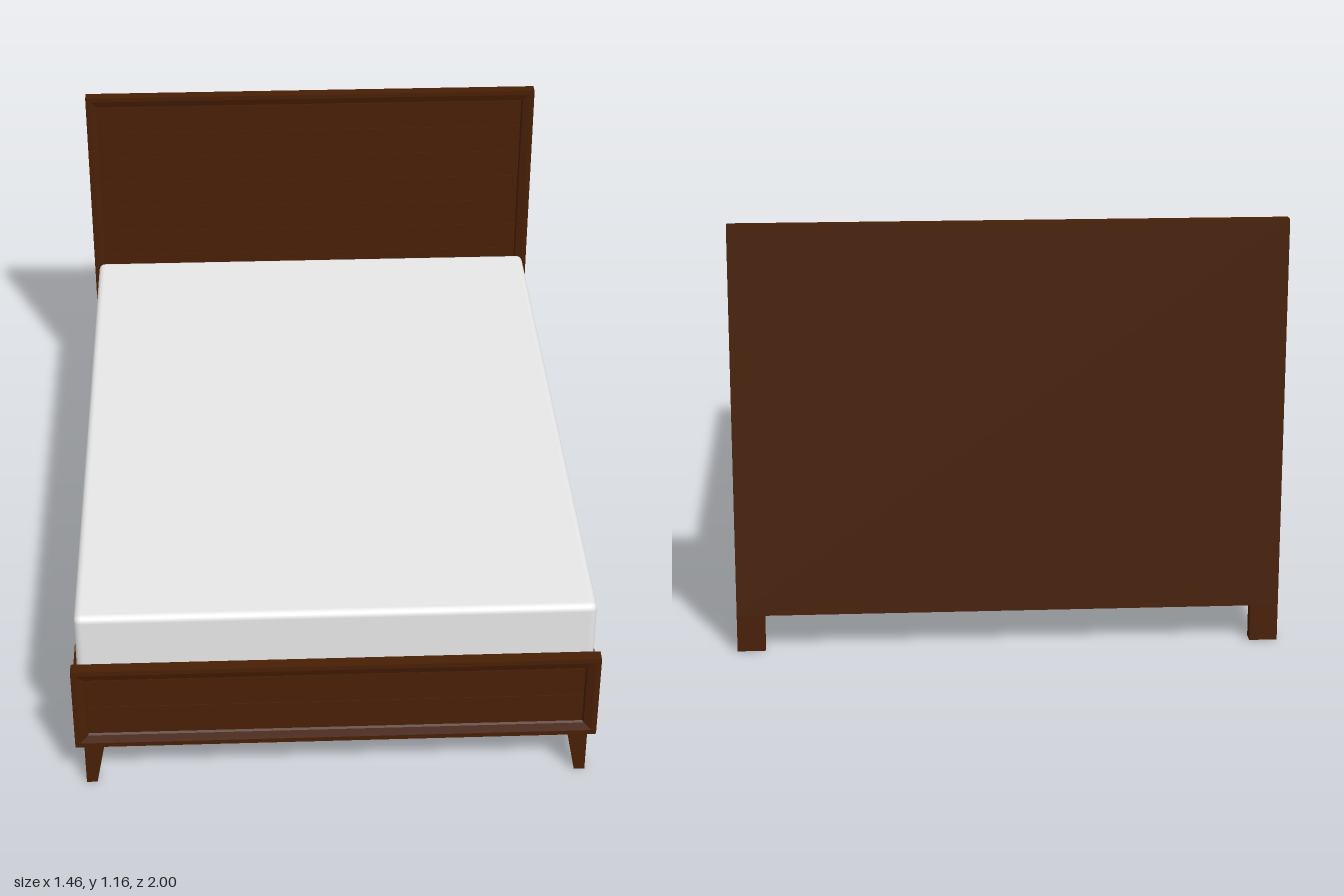
import * as THREE from 'three';
import { RoundedBoxGeometry } from 'three/addons/geometries/RoundedBoxGeometry.js';

const material = (name, color) => {
  const m = new THREE.MeshStandardMaterial({ color });
  m.name = name;
  return m;
};

export function createModel() {
  const wood = material('walnut', 0x481f05);
  const fabric = material('mattressFabric', 0xebebeb);
  const pine = material('slatPine', 0xcfba92);

  const bed = new THREE.Group();
  bed.name = 'bed';

  const add = (parent, name, geometry, mat) => {
    const mesh = new THREE.Mesh(geometry, mat);
    mesh.name = name;
    parent.add(mesh);
    return mesh;
  };
  // Box given by its minimum and maximum corners
  const box = (parent, name, mat, x0, x1, y0, y1, z0, z1) => {
    const g = new THREE.BoxGeometry(x1 - x0, y1 - y0, z1 - z0);
    g.translate((x0 + x1) / 2, (y0 + y1) / 2, (z0 + z1) / 2);
    return add(parent, name, g, mat);
  };

  const W = 0.73; // half width of the bed
  const T = 0.035; // board thickness
  const L = 1; // half length

  // Solid board with a mitred, sloping frame around a recessed front
  function framedBoard(y0, y1, z0, z1) {
    const rings = [[0, z0], [0, z1], [0.014, z1], [0.036, z1 - 0.008], [0.04, z1 - 0.016]];
    const corners = rings.map(([i, z]) => [
      [-W + i, y0 + i, z], [W - i, y0 + i, z], [W - i, y1 - i, z], [-W + i, y1 - i, z],
    ]);
    const pos = [];
    const quad = (a, b, c, d) => pos.push(...a, ...b, ...c, ...a, ...c, ...d);
    for (let r = 0; r < rings.length - 1; r++) {
      for (let k = 0; k < 4; k++) {
        const n = (k + 1) % 4;
        quad(corners[r][k], corners[r][n], corners[r + 1][n], corners[r + 1][k]);
      }
    }
    const [a, b, c, d] = corners[0];
    quad(d, c, b, a);
    quad(...corners[rings.length - 1]);
    const g = new THREE.BufferGeometry();
    g.setAttribute('position', new THREE.Float32BufferAttribute(pos, 3));
    g.computeVertexNormals();
    return g;
  }

  // Framed board filled with horizontal planks
  function plankedBoard(name, y0, y1, z0, z1, pitch) {
    const group = new THREE.Group();
    group.name = name;
    add(group, name + 'Frame', framedBoard(y0, y1, z0, z1), wood);
    const inner = W - 0.04, bottom = y0 + 0.04, face = z1 - 0.016;
    for (let top = y1 - 0.04; top > bottom + 0.02; top -= pitch) {
      const low = Math.max(top - pitch, bottom);
      box(group, name + 'Plank', wood, -inner + 0.001, inner - 0.001, low + 0.0015, top - 0.0015, face - 0.002, face + 0.004);
    }
    bed.add(group);
  }
  plankedBoard('headboard', 0.1, 1.165, -L, -L + T, 0.0917);
  plankedBoard('footboard', 0.13, 0.4, L - T, L, 0.095);

  // Tapered front leg profile
  const legShape = new THREE.Shape([
    new THREE.Vector2(0.675, 0), new THREE.Vector2(0.705, 0),
    new THREE.Vector2(0.705, 0.13), new THREE.Vector2(0.65, 0.13),
  ]);
  const frontLeg = new THREE.ExtrudeGeometry(legShape, { depth: 0.028, bevelEnabled: false });
  frontLeg.translate(0, 0, -0.014);

  for (const s of [-1, 1]) {
    const side = s > 0 ? 'left' : 'right';
    const span = (a, b) => (s > 0 ? [a, b] : [-b, -a]);

    // Legs
    box(bed, side + 'BackLeg', wood, ...span(0.655, W), 0, 0.1, -L, -L + T);
    const leg = add(bed, side + 'FrontLeg', frontLeg, wood);
    leg.position.z = L - 0.015;
    if (s < 0) leg.rotation.y = Math.PI;

    // Side rail and the cleat that carries the slats
    box(bed, side + 'Rail', wood, ...span(0.712, W), 0.13, 0.33, -L + T, L - T);
    box(bed, side + 'Cleat', wood, ...span(0.685, 0.712), 0.255, 0.285, -L + T, L - T);
  }

  // Slats, with a wide board at the foot
  box(bed, 'footSlat', pine, -0.712, 0.712, 0.285, 0.305, 0.82, L - T);
  const count = 17, pitch = 1.77 / count;
  for (let i = 0; i < count; i++) {
    const z = -0.96 + i * pitch;
    box(bed, 'slat', pine, -0.712, 0.712, 0.285, 0.305, z, z + 0.075);
  }

  // Mattress
  const mattress = add(bed, 'mattress', new RoundedBoxGeometry(1.43, 0.25, 1.925, 4, 0.02), fabric);
  mattress.position.set(0, 0.43, -0.002);

  return bed;
}
